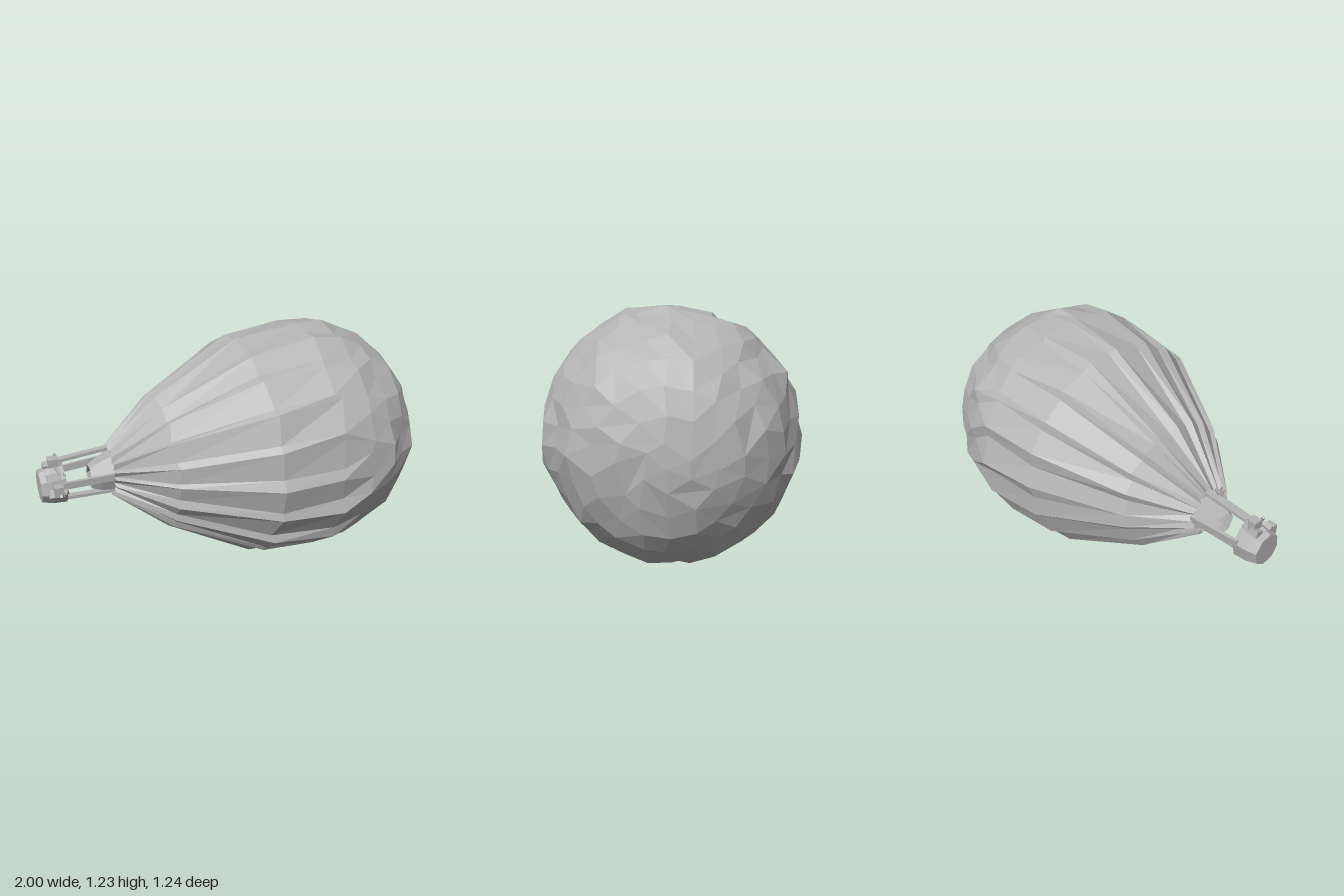
import * as THREE from 'three';

export function createModel() {
  const model = new THREE.Group();
  const grey = new THREE.MeshStandardMaterial({ color: 0xb4b4b4, flatShading: true, side: THREE.DoubleSide });
  grey.name = 'plain grey';

  let seed = 7;
  const rand = () => {
    seed = (seed * 16807) % 2147483647;
    return seed / 2147483647 - 0.5;
  };
  const add = (name, geometry, parent = model) => {
    const mesh = new THREE.Mesh(geometry, grey);
    mesh.name = name;
    parent.add(mesh);
    return mesh;
  };

  // Joins rings of different point counts, always advancing the side that lags in angle
  const stitch = (rings) => {
    const pos = [];
    const tri = (a, b, c) => pos.push(...a.p, ...b.p, ...c.p);
    for (let k = 0; k + 1 < rings.length; k++) {
      const A = rings[k], B = rings[k + 1];
      let i = 0, j = 0;
      while (i < A.length || j < B.length) {
        const a = A[i % A.length], b = B[j % B.length];
        if (j >= B.length || (i < A.length && (i + 1) / A.length <= (j + 1) / B.length)) {
          tri(a, A[(i + 1) % A.length], b);
          i++;
        } else {
          tri(a, B[(j + 1) % B.length], b);
          j++;
        }
      }
    }
    const g = new THREE.BufferGeometry();
    g.setAttribute('position', new THREE.Float32BufferAttribute(pos, 3));
    g.computeVertexNormals();
    return g;
  };

  // Envelope stations: x, centre y, centre z, radius, point count, pleat depth, jitter
  const stations = [
    [-0.65, 0.59, -0.02, 0.118, 40, 0.10, 0.01],
    [-0.39, 0.595, -0.01, 0.335, 40, 0.035, 0.02],
    [0.04, 0.615, 0, 0.572, 40, 0.022, 0.03],
    [0.36, 0.628, 0, 0.612, 40, 0.014, 0.05],
    [0.52, 0.632, 0, 0.598, 36, 0.008, 0.06],
    [0.64, 0.632, 0, 0.560, 32, 0, 0.045],
    [0.75, 0.630, 0, 0.502, 28, 0, 0.045],
    [0.845, 0.627, 0, 0.425, 24, 0, 0.04],
    [0.915, 0.622, 0, 0.325, 18, 0, 0.03],
    [0.96, 0.620, 0, 0.215, 12, 0, 0.025],
    [0.985, 0.620, 0, 0.105, 6, 0, 0.01],
    [0.995, 0.620, 0, 0, 1, 0, 0],
  ];
  const rings = stations.map(([x, cy, cz, r, n, pleat, jitter]) =>
    Array.from({ length: n }, (_, i) => {
      const odd = i % 2;
      // Valleys lean towards one neighbour, so each pleat has a steep side
      const skew = odd && pleat ? 0.45 : 0;
      const a = ((i + skew + rand() * 0.35) / n) * Math.PI * 2;
      const rr = r * (1 + (odd ? -pleat : pleat) + rand() * jitter);
      const xx = Math.min(0.995, x + rand() * jitter * 0.8);
      return { p: [xx, cy + rr * Math.cos(a), cz + rr * Math.sin(a)] };
    }));
  add('envelope', stitch(rings));

  // Short flared skirt below the mouth
  const tubeRing = (x, cy, cz, r, n, turn = 0) =>
    Array.from({ length: n }, (_, i) => {
      const a = turn + (i / n) * Math.PI * 2;
      return { p: [x, cy + r * Math.cos(a), cz + r * Math.sin(a)] };
    });
  add('skirt', stitch([
    tubeRing(-0.75, 0.57, -0.025, 0.062, 6, 0.4),
    tubeRing(-0.70, 0.575, -0.025, 0.085, 6, 0.4),
    tubeRing(-0.63, 0.59, -0.02, 0.105, 6, 0.4),
  ]));

  // Flat straps between envelope and basket
  const strap = (from, to, width, depth) => {
    const a = new THREE.Vector3(...from), b = new THREE.Vector3(...to);
    const dir = b.clone().sub(a);
    const mesh = add('strap', new THREE.BoxGeometry(width, dir.length(), depth));
    mesh.position.copy(a).add(b).multiplyScalar(0.5);
    mesh.quaternion.setFromUnitVectors(new THREE.Vector3(0, 1, 0), dir.normalize());
  };
  strap([-0.90, 0.685, -0.035], [-0.64, 0.705, -0.04], 0.016, 0.035);
  strap([-0.90, 0.485, -0.02], [-0.64, 0.475, -0.02], 0.016, 0.035);
  strap([-0.90, 0.595, -0.11], [-0.64, 0.60, -0.14], 0.035, 0.016);
  strap([-0.90, 0.59, 0.065], [-0.64, 0.595, 0.075], 0.035, 0.016);

  // Open basket with a thick wall and a closed floor
  const by = 0.57, bz = -0.02;
  add('basket', stitch([
    tubeRing(-0.93, by, bz, 0.01, 8, 0.2).map(({ p }) => ({ p: [-0.985, p[1], p[2]] })),
    tubeRing(-0.985, by, bz, 0.075, 8, 0.2),
    tubeRing(-0.88, by, bz, 0.088, 8, 0.2),
    tubeRing(-0.88, by, bz, 0.10, 8, 0.2),
    tubeRing(-0.95, by, bz, 0.095, 8, 0.2),
    tubeRing(-1.0, by, bz, 0.08, 8, 0.2),
    [{ p: [-1.0, by, bz] }],
  ].reverse()));

  // Passengers leaning at the rim
  const passengers = [[0.655, -0.05, 0.3], [0.63, 0.035, -0.5], [0.56, 0.075, 0.9], [0.55, -0.06, -0.3]];
  passengers.forEach(([y, z, turn]) => {
    const person = new THREE.Group();
    person.name = 'passenger';
    person.position.set(-0.92, y, z);
    person.rotation.x = turn;
    model.add(person);
    add('torso', new THREE.BoxGeometry(0.07, 0.035, 0.04), person).position.x = -0.015;
    add('head', new THREE.IcosahedronGeometry(0.018, 0), person).position.x = 0.03;
    for (const s of [-1, 1]) {
      const arm = add('arm', new THREE.BoxGeometry(0.014, 0.05, 0.014), person);
      arm.position.set(0.008, 0.025, s * 0.024);
      arm.rotation.z = s * 0.4;
    }
  });

  // Equipment hanging outside the basket
  add('topBag', new THREE.BoxGeometry(0.05, 0.045, 0.05)).position.set(-0.92, 0.682, -0.03);
  add('sideBag', new THREE.BoxGeometry(0.045, 0.05, 0.04)).position.set(-0.925, 0.585, 0.095);

  return model;
}
